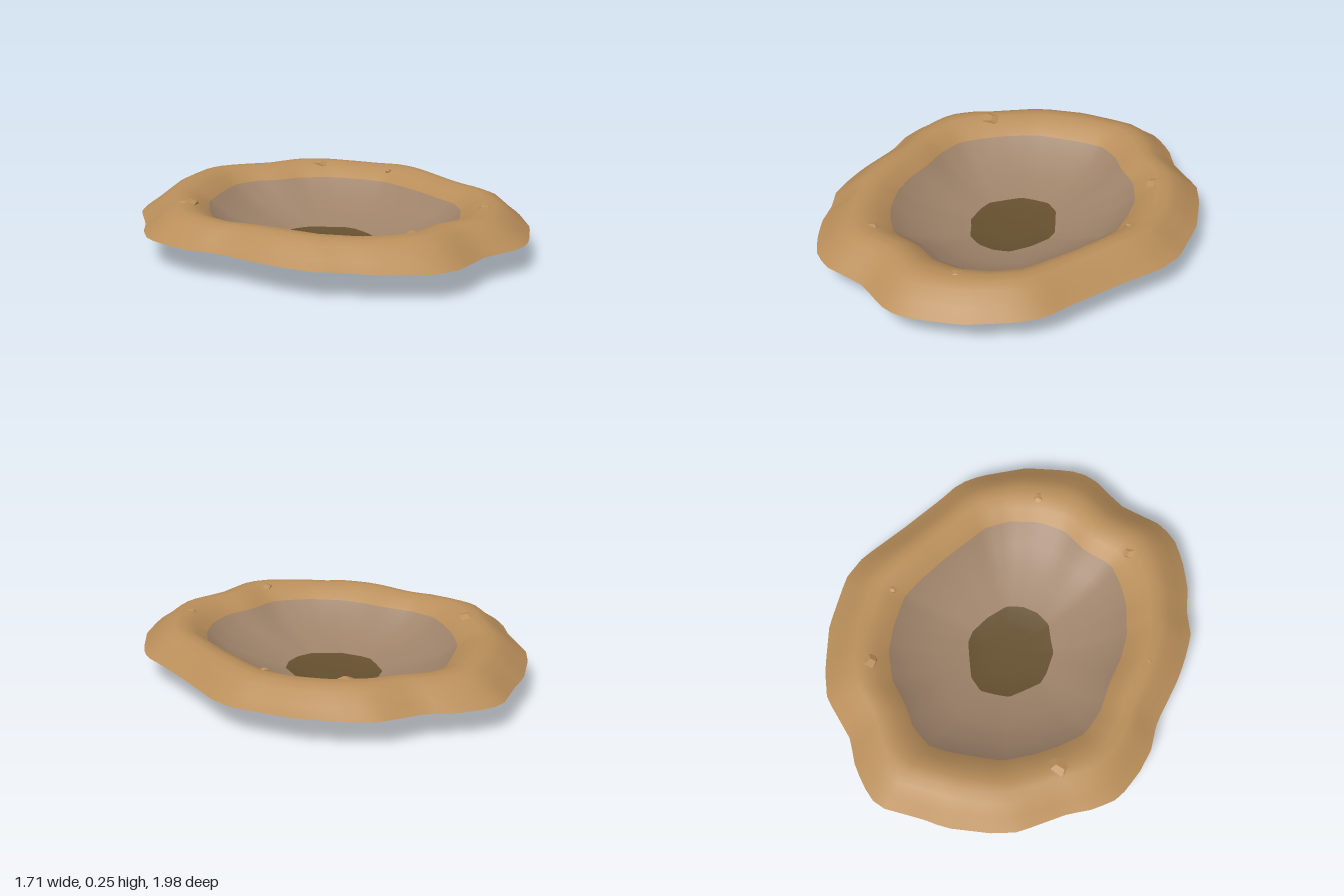
import * as THREE from 'three';

const N = 96;

// Outlines seen from above as x, z pairs
const OUTER = [.1,-1, .21,-.95, .3,-.885, .385,-.795, .59,-.685, .675,-.575, .785,-.375, .855,-.12, .845,.01,
  .76,.25, .685,.49, .655,.61, .585,.705, .41,.865, .21,.97, .1,.995, -.02,.96, -.11,.93, -.345,.94, -.45,.89,
  -.53,.81, -.61,.71, -.67,.59, -.745,.49, -.78,.36, -.8,.245, -.815,.015, -.855,-.115, -.86,-.235, -.84,-.39,
  -.765,-.495, -.67,-.58, -.52,-.765, -.425,-.83, -.225,-.92, -.115,-.94];
const PIT = [.045,-.64, .15,-.605, .24,-.53, .36,-.46, .46,-.34, .51,-.21, .545,-.065, .52,.065, .485,.2, .435,.345,
  .4,.45, .32,.54, .19,.615, .055,.64, -.085,.6, -.235,.6, -.33,.53, -.405,.45, -.48,.32, -.515,.2, -.53,.055,
  -.56,-.075, -.555,-.21, -.49,-.315, -.405,-.42, -.29,-.525, -.155,-.58, -.05,-.62];
const FLOOR = [.005,-.245, .08,-.21, .14,-.13, .19,-.06, .2,0, .175,.1, .125,.2, .055,.24, -.025,.25, -.105,.225,
  -.155,.16, -.2,.11, -.225,0, -.225,-.06, -.18,-.13, -.13,-.2, -.065,-.225];

// Radius of an outline at each of N equal angles
function radii(flat) {
  const pts = [];
  for (let i = 0; i < flat.length; i += 2) pts.push([flat[i], flat[i + 1]]);
  const cross = (a, b) => a[0] * b[1] - a[1] * b[0];
  return Array.from({ length: N }, (_, k) => {
    const d = [Math.cos(k / N * Math.PI * 2), Math.sin(k / N * Math.PI * 2)];
    for (let i = 0; i < pts.length; i++) {
      const p = pts[i], q = pts[(i + 1) % pts.length];
      if (cross(p, d) >= 0 && cross(d, q) > 0) return cross(p, q) / (cross(d, q) + cross(p, d));
    }
    return Math.hypot(...pts[0]);
  });
}

function createCrater(materials) {
  const outer = radii(OUTER), pit = radii(PIT), floor = radii(FLOOR);
  const mix = THREE.MathUtils.lerp;
  const wave = (a) => 0.004 * Math.sin(7 * a + 1);
  // Rings from the centre outwards: radius, height, material of the band inside the ring
  const rings = [
    [k => floor[k] * 0.5, () => 0.002, 2],
    [k => floor[k], () => 0.01, 2],
    [k => mix(floor[k], pit[k], 0.4), () => 0.05, 1],
    [k => mix(floor[k], pit[k], 0.75), () => 0.1, 1],
    [k => pit[k], () => 0.172, 1],
    [k => mix(pit[k], outer[k], 0.17), a => 0.216 + wave(a) / 2, 0],
    [k => mix(pit[k], outer[k], 0.35), a => 0.237 + wave(a), 0],
    [k => mix(pit[k], outer[k], 0.5), a => 0.234 + wave(a), 0],
    [k => mix(pit[k], outer[k], 0.65), a => 0.216 + wave(a), 0],
    [k => mix(pit[k], outer[k], 0.82), a => 0.17 + wave(a), 0],
    [k => outer[k], a => 0.13 + 0.007 * Math.cos(2 * a), 0],
  ];
  const pos = [0, 0, 0], index = [];
  const geo = new THREE.BufferGeometry();
  rings.forEach(([radius, height, mat], r) => {
    const start = index.length, base = 1 + r * N;
    for (let k = 0; k < N; k++) {
      const a = k / N * Math.PI * 2, n = (k + 1) % N;
      pos.push(radius(k) * Math.cos(a), height(a), radius(k) * Math.sin(a));
      if (r === 0) index.push(0, base + n, base + k);
      else index.push(base - N + k, base - N + n, base + k, base - N + n, base + n, base + k);
    }
    geo.addGroup(start, index.length - start, mat);
  });
  geo.setAttribute('position', new THREE.Float32BufferAttribute(pos, 3));
  geo.setIndex(index);
  geo.computeVertexNormals();
  const mesh = new THREE.Mesh(geo, materials);
  mesh.name = 'craterRimWallAndFloor';
  return mesh;
}

export function createModel() {
  const material = (name, color) => {
    const m = new THREE.MeshStandardMaterial({ color, side: THREE.DoubleSide });
    m.name = name;
    return m;
  };
  const soil = material('sandySoil', 0xb98e5a);
  const wall = material('greyBrownWall', 0x9f836a);
  const bed = material('darkFloor', 0x65502f);

  const model = new THREE.Group();
  model.name = 'crater';
  model.add(createCrater([soil, wall, bed]));

  // Half-buried stones around the rim: x, z, y, radius
  const stones = [[-0.54, -0.43, 0.222, 0.06], [0.495, -0.455, 0.222, 0.05], [-0.64, 0.235, 0.228, 0.03],
    [-0.295, 0.685, 0.222, 0.042], [0.25, 0.71, 0.226, 0.033], [0.6, -0.08, 0.218, 0.022], [-0.04, -0.76, 0.23, 0.02]];
  stones.forEach(([x, z, y, r], i) => {
    const stone = new THREE.Mesh(new THREE.DodecahedronGeometry(r), soil);
    stone.name = 'stone' + (i + 1);
    stone.scale.set(1, 0.45, 0.85);
    stone.rotation.y = i * 1.3;
    stone.position.set(x, y, z);
    model.add(stone);
  });
  return model;
}
